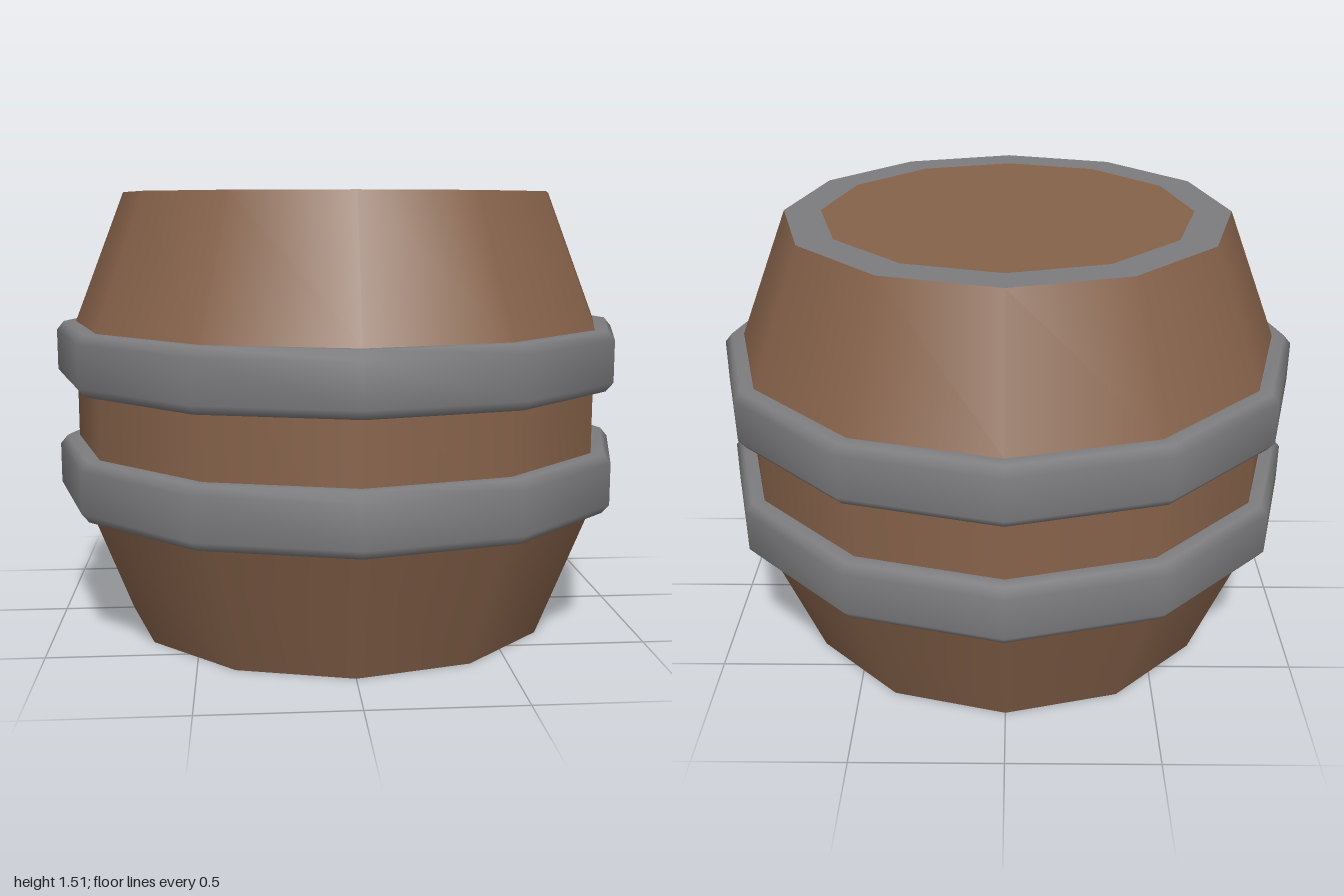
import * as THREE from 'three';

const SIDES = 12;
const HEIGHT = 1.51;

export function createModel() {
  const barrel = new THREE.Group();
  barrel.name = 'barrel';
  const wood = new THREE.MeshStandardMaterial({ color: 0x86624a });
  wood.name = 'brown wood';
  const iron = new THREE.MeshStandardMaterial({ color: 0x7c7b7d });
  iron.name = 'grey iron';

  const add = (name, geometry, material) => {
    const mesh = new THREE.Mesh(geometry, material);
    mesh.name = name;
    barrel.add(mesh);
    return mesh;
  };
  // Twelve-sided surface of revolution, profile listed from bottom to top
  const lathe = (profile) =>
    new THREE.LatheGeometry(profile.map(([r, y]) => new THREE.Vector2(r, y)), SIDES);

  // Staves: two tapered ends and a straight middle, kept apart for sharp seams
  add('lowerStaves', lathe([[0.755, 0], [0.932, 0.45]]), wood);
  add('middleStaves', lathe([[0.932, 0.45], [0.932, 1.06]]), wood);
  add('upperStaves', lathe([[0.932, 1.06], [0.755, HEIGHT]]), wood);

  // Bevelled hoops around the middle
  for (const [name, y] of [['lowerHoop', 0.45], ['upperHoop', 0.86]]) {
    const profile = [[0.93, 0], [0.975, 0], [1, 0.03], [1, 0.17], [0.975, 0.2], [0.93, 0.2]];
    add(name, lathe(profile.map(([r, h]) => [r, y + h])), iron);
  }

  // Flat ends: a wooden head inside an iron rim
  for (const [end, y, turn] of [['top', HEIGHT, -1], ['bottom', 0, 1]]) {
    const parts = [
      add(end + 'Rim', new THREE.RingGeometry(0.63, 0.755, SIDES), iron),
      add(end + 'Head', new THREE.CircleGeometry(0.63, SIDES), wood),
    ];
    for (const part of parts) {
      part.rotation.x = (turn * Math.PI) / 2;
      part.position.y = y;
    }
  }
  return barrel;
}
